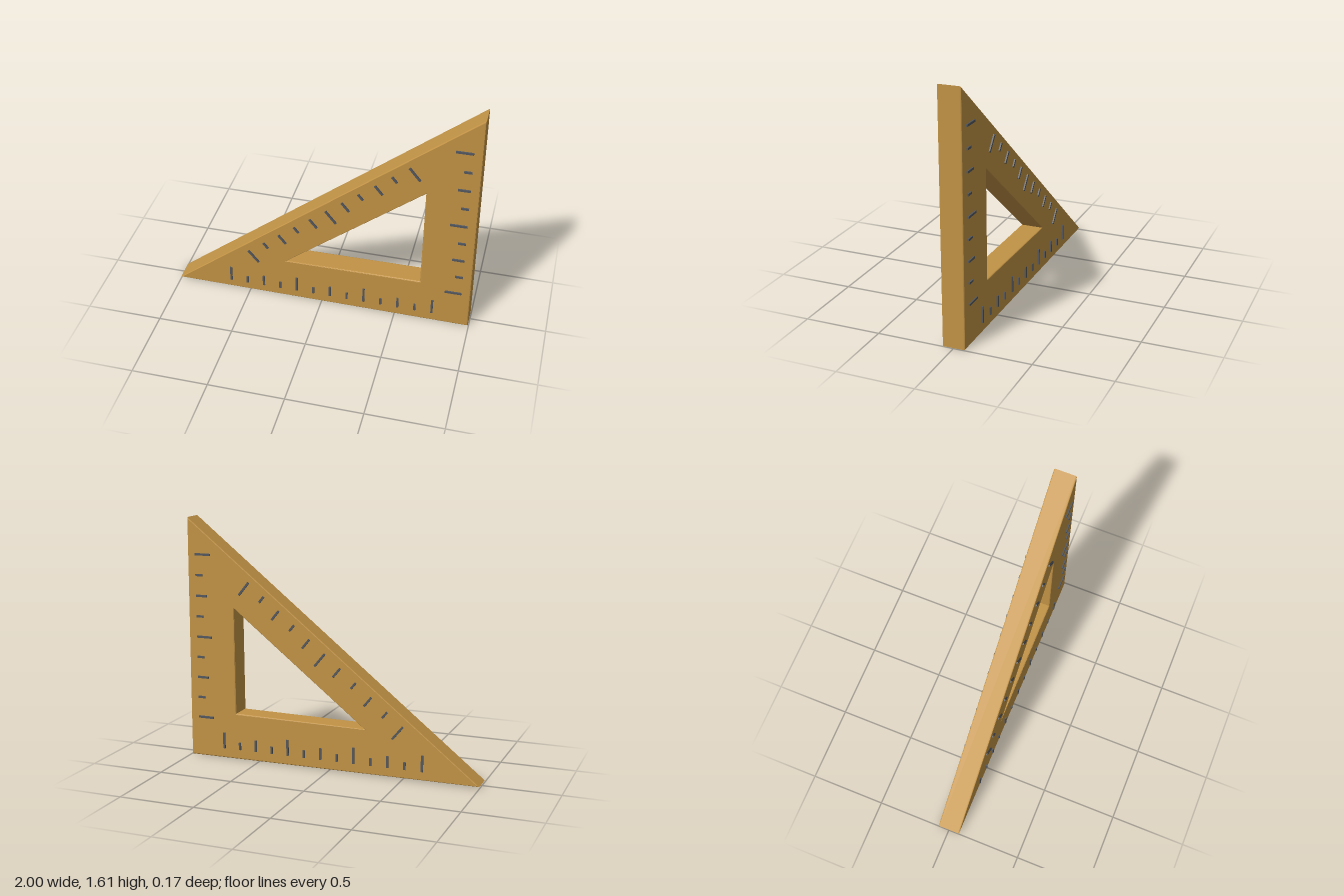
import * as THREE from 'three';

const HALF = 0.074; // half thickness of the board
const BEVEL = 0.009;

export function createModel() {
  const model = new THREE.Group();
  model.name = 'setSquare';
  const wood = new THREE.MeshStandardMaterial({ color: 0xc29345 });
  const ink = new THREE.MeshStandardMaterial({ color: 0x53585f });
  const points = (list) => list.map(([x, y]) => new THREE.Vector2(x, y));

  // Triangular board with a triangular window and softened edges
  const outline = new THREE.Shape(points([[-1, 0.012], [0.995, 0], [0.99, 1.607]]));
  outline.holes.push(new THREE.Path(points([[-0.24, 0.305], [0.664, 1.022], [0.66, 0.315]])));
  const boardGeometry = new THREE.ExtrudeGeometry(outline, {
    depth: 2 * (HALF - BEVEL),
    bevelThickness: BEVEL, bevelSize: BEVEL, bevelOffset: -BEVEL, bevelSegments: 3,
  });
  boardGeometry.translate(0, 0, BEVEL - HALF);
  const board = new THREE.Mesh(boardGeometry, wood);
  board.name = 'board';
  model.add(board);

  // A raised tick that starts at (x, y) and runs along the given angle, on both faces
  function addTick(group, x, y, angle, length) {
    for (const side of [1, -1]) {
      const tick = new THREE.Mesh(new THREE.BoxGeometry(length, 0.014, 0.024), ink);
      tick.position.set(
        x + Math.cos(angle) * length / 2,
        y + Math.sin(angle) * length / 2,
        side * (HALF - 0.003),
      );
      tick.rotation.z = angle;
      tick.name = side > 0 ? 'frontTick' : 'backTick';
      group.add(tick);
    }
  }

  // A row of ticks from one point to another; lengthAt gives each tick's length
  function addScale(name, from, to, steps, angle, lengthAt) {
    const group = new THREE.Group();
    group.name = name;
    for (let i = 0; i <= steps; i++) {
      const t = i / steps;
      addTick(group, from[0] + (to[0] - from[0]) * t, from[1] + (to[1] - from[1]) * t, angle, lengthAt(i));
    }
    model.add(group);
  }

  const byFour = (i) => (i % 4 === 0 ? 0.108 : i % 2 === 0 ? 0.077 : 0.05);
  const byFive = (i) => (i % 5 === 0 ? 0.11 : [1, 3, 7, 9].includes(i) ? 0.05 : 0.078);

  addScale('bottomScale', [-0.63, 0.068], [0.75, 0.068], 12, Math.PI / 2, byFour);
  addScale('uprightScale', [0.935, 0.27], [0.935, 1.368], 8, Math.PI, byFour);
  // Ticks on the long edge point inward, square to that edge
  const slope = Math.atan2(0.855, 1.052);
  addScale('slantedScale', [-0.5, 0.347], [0.555, 1.202], 10, slope - Math.PI / 2, byFive);

  return model;
}
